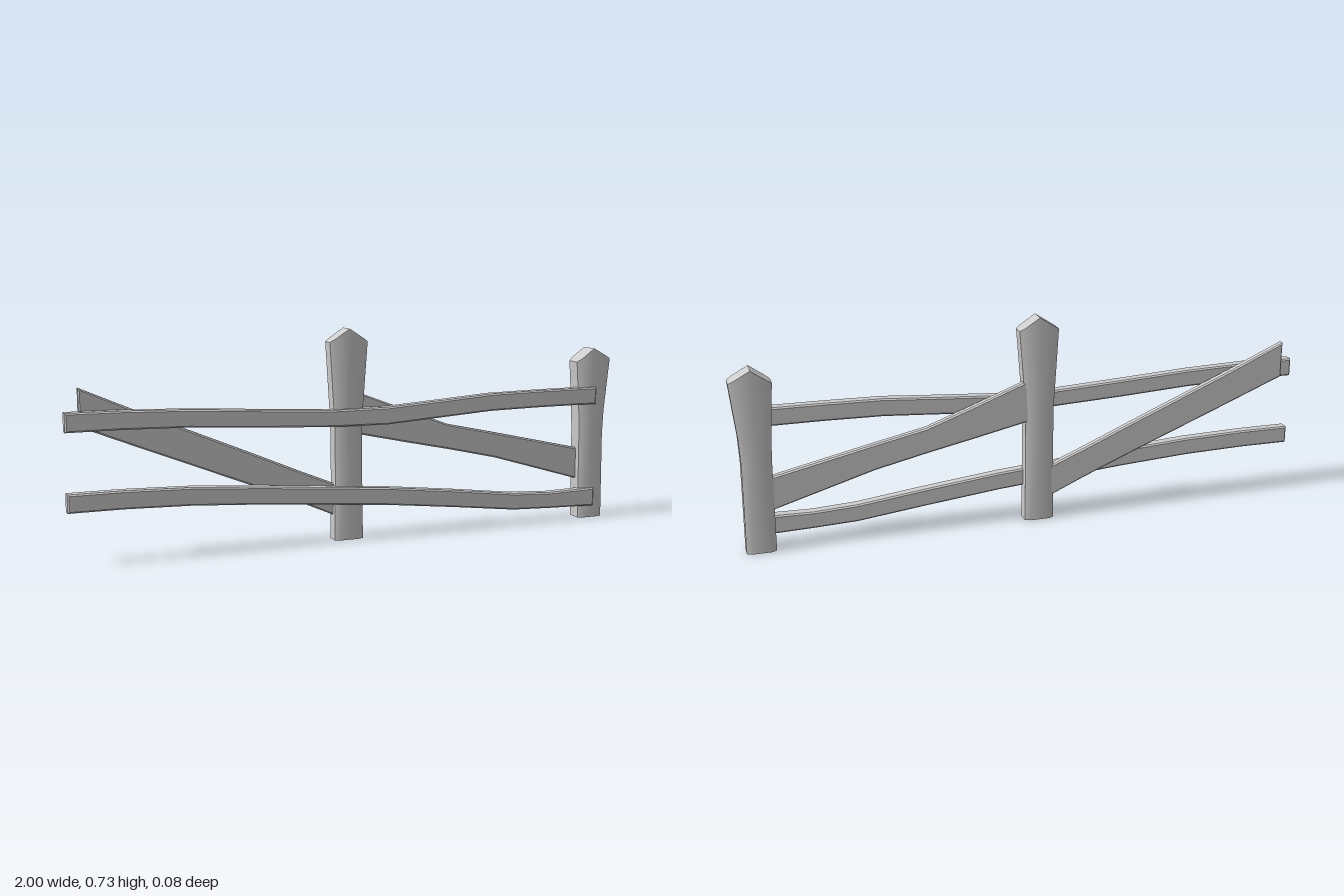
import * as THREE from 'three';
import { toCreasedNormals } from 'three/addons/utils/BufferGeometryUtils.js';

const wood = new THREE.MeshStandardMaterial({ color: 0xcccccc });
const openWood = new THREE.MeshStandardMaterial({ color: 0xcccccc, side: THREE.DoubleSide });

// Plank: stations [x, yTop, yBottom] outline a board, extruded from zBack to zFront with a fine bevel
function plank(name, stations, zBack, zFront) {
  const b = 0.005;
  const outline = [
    ...stations.map(([x, , low]) => new THREE.Vector2(x, low)),
    ...stations.map(([x, top]) => new THREE.Vector2(x, top)).reverse(),
  ];
  const geo = new THREE.ExtrudeGeometry(new THREE.Shape(outline), {
    depth: zFront - zBack - 2 * b,
    bevelThickness: b, bevelSize: b, bevelOffset: -b, bevelSegments: 1, steps: 1,
  });
  geo.translate(0, 0, zBack + b);
  const mesh = new THREE.Mesh(toCreasedNormals(geo, 0.5), wood);
  mesh.name = name;
  return mesh;
}

// Post: stations [y, xLeft, xRight] skinned with a chamfered section, open below, gabled on top
function post(name, stations, peakX, peakY, zBack, zFront) {
  const cx = 0.018, cz = 0.009;
  // Section runs counter-clockwise seen from above, from the front ridge point round to the left
  const section = (l, r, mid) => [
    [mid, zFront], [r - cx, zFront], [r, zFront - cz], [r, zBack + cz], [r - cx, zBack],
    [mid, zBack], [l + cx, zBack], [l, zBack + cz], [l, zFront - cz], [l + cx, zFront],
  ];
  const n = 10, pos = [], idx = [];
  stations.forEach(([y, l, r, yRight = y], s) => {
    const last = s === stations.length - 1;
    const mid = last ? peakX : (l + r) / 2;
    for (const [x, z] of section(l, r, mid)) {
      // The last ring follows the two roof slopes
      const t = x < mid ? (mid - x) / (mid - l) : (x - mid) / (r - mid);
      const eave = x < mid ? y : yRight;
      pos.push(x, last ? peakY + (eave - peakY) * t : y, z);
    }
  });
  for (let s = 0; s < stations.length - 1; s++) {
    for (let i = 0; i < n; i++) {
      const a = s * n + i, b = s * n + (i + 1) % n;
      idx.push(a, b, b + n, a, b + n, a + n);
    }
  }
  // Roof slopes
  const top = (stations.length - 1) * n;
  for (const side of [[0, 1, 2, 3, 4, 5], [5, 6, 7, 8, 9, 0]]) {
    for (let i = 1; i < 5; i++) idx.push(top + side[0], top + side[i], top + side[i + 1]);
  }
  const geo = new THREE.BufferGeometry();
  geo.setAttribute('position', new THREE.Float32BufferAttribute(pos, 3));
  geo.setIndex(idx);
  const mesh = new THREE.Mesh(toCreasedNormals(geo, 0.6), openWood);
  mesh.name = name;
  return mesh;
}

export function createModel() {
  const fence = new THREE.Group();
  fence.name = 'fence';

  // Upright posts
  fence.add(
    post('middlePost', [
      [0, -0.088, 0.017], [0.22, -0.085, 0.014], [0.41, -0.087, 0.013],
      [0.685, -0.104, 0.034],
    ], -0.035, 0.73, -0.035, 0.027),
    post('endPost', [
      [0, 0.88, 0.979], [0.31, 0.877, 0.976], [0.4, 0.874, 0.98],
      [0.582, 0.861, 1.0, 0.59],
    ], 0.928, 0.63, -0.04, 0.031),
  );

  // Long sagging rails at the front
  fence.add(
    plank('topRail', [
      [-1, 0.495, 0.432], [-0.82, 0.493, 0.432], [-0.6, 0.486, 0.427], [-0.35, 0.471, 0.412],
      [-0.1, 0.457, 0.4], [0.1, 0.457, 0.397], [0.3, 0.47, 0.41],
      [0.5, 0.484, 0.423], [0.7, 0.487, 0.426], [0.935, 0.488, 0.426],
    ], 0.001, 0.042),
    plank('bottomRail', [
      [-1, 0.235, 0.174], [-0.82, 0.235, 0.174], [-0.6, 0.229, 0.168], [-0.35, 0.212, 0.152],
      [-0.1, 0.191, 0.131], [0.1, 0.175, 0.114], [0.36, 0.146, 0.085],
      [0.6, 0.116, 0.056], [0.75, 0.108, 0.05], [0.935, 0.112, 0.045],
    ], 0.001, 0.042),
  );

  // Slanting boards behind the rails
  fence.add(
    plank('rightBrace', [
      [-0.948, 0.567, 0.442], [-0.74, 0.475, 0.357], [-0.39, 0.327, 0.216],
      [-0.2, 0.245, 0.137], [-0.06, 0.187, 0.075],
    ], -0.029, 0),
    plank('leftBrace', [
      [-0.01, 0.515, 0.367], [0.2, 0.435, 0.321], [0.36, 0.376, 0.287],
      [0.54, 0.337, 0.246], [0.9, 0.256, 0.139],
    ], -0.029, 0),
  );
  return fence;
}
